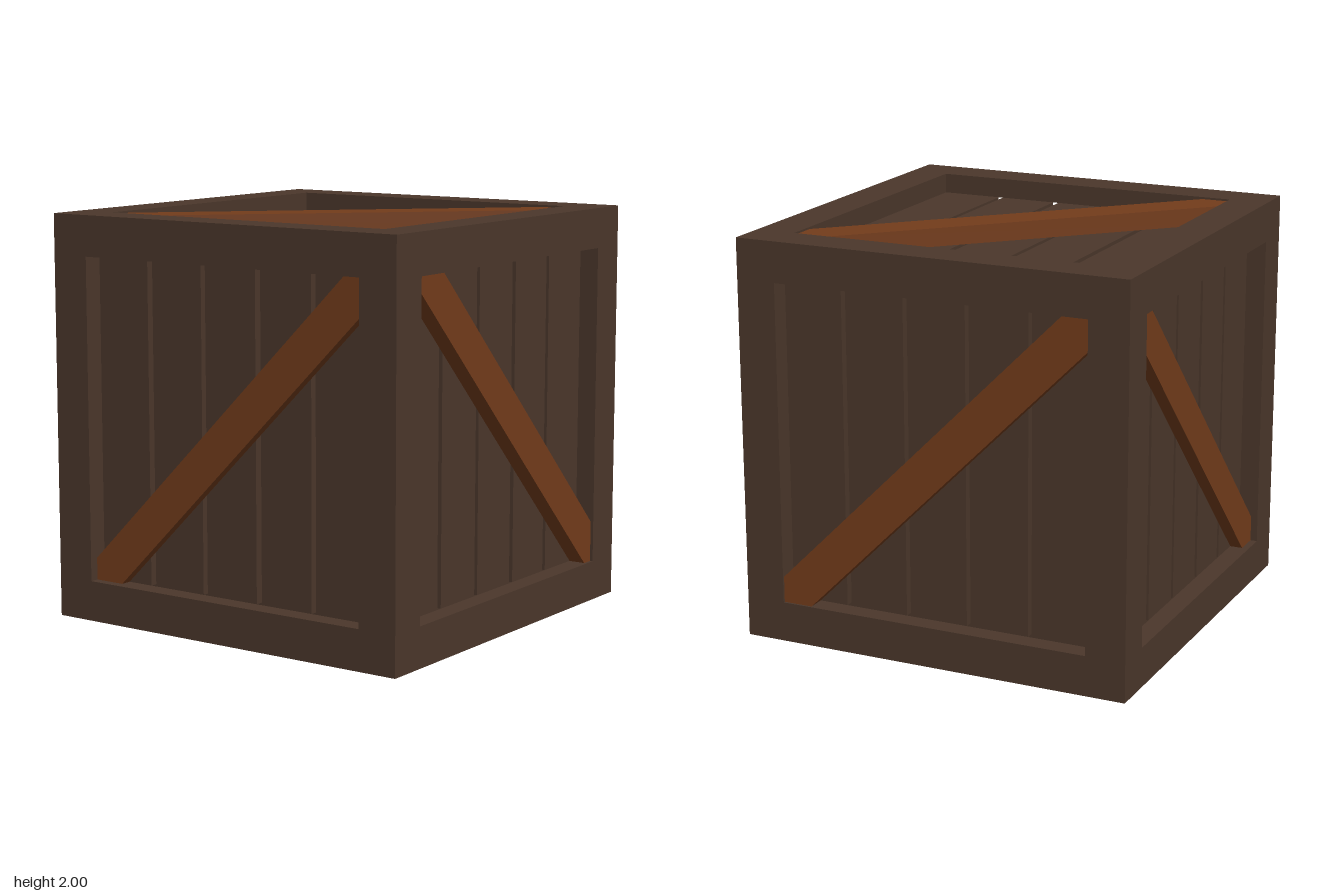
import * as THREE from 'three';
import { mergeGeometries } from 'three/addons/utils/BufferGeometryUtils.js';

const IN = 0.8;       // half width of the opening in each face
const RECESS = 0.1;   // depth of the boards below the frame
const wood = new THREE.MeshStandardMaterial({ color: 0x4b372b });
const braceWood = new THREE.MeshStandardMaterial({ color: 0x733c1b });

function mesh(name, geometry, material) {
  const m = new THREE.Mesh(geometry, material);
  m.name = name;
  return m;
}

const square = (Type, h) => new Type(
  [[-h, -h], [h, -h], [h, h], [-h, h]].map(([x, y]) => new THREE.Vector2(x, y)));

// Square border with the four walls of its opening
function frameGeometry() {
  const ring = square(THREE.Shape, 1);
  ring.holes.push(square(THREE.Path, IN));
  const parts = [new THREE.ShapeGeometry(ring).translate(0, 0, 1)];
  for (let i = 0; i < 4; i++) {
    parts.push(new THREE.PlaneGeometry(2 * IN, RECESS)
      .rotateX(-Math.PI / 2)
      .translate(0, -IN, 1 - RECESS / 2)
      .rotateZ(i * Math.PI / 2));
  }
  return mergeGeometries(parts);
}

// Five upright boards with narrow gaps
function addPlanks(face) {
  const edges = [[-0.8, -0.5], [-0.47, -0.175], [-0.15, 0.145], [0.175, 0.465], [0.49, 0.8]];
  for (const [a, b] of edges) {
    const board = mesh('plank', new THREE.BoxGeometry(b - a, 2 * IN, 0.04), wood);
    board.position.set((a + b) / 2, 0, 1 - RECESS - 0.02);
    face.add(board);
  }
}

// Diagonal bar cut to the opening; hi and lo are its edges above and below
// the diagonal, dir -1 mirrors it, sink is its depth below the frame
function braceGeometry({ hi, lo, dir, sink }) {
  const points = [
    [-IN, -IN], [-IN + lo, -IN], [IN, IN - lo],
    [IN, IN], [IN - hi, IN], [-IN, -IN + hi],
  ].map(([x, y]) => new THREE.Vector2(x * dir, y));
  return new THREE.ExtrudeGeometry(new THREE.Shape(points), {
    depth: RECESS - sink, bevelEnabled: false,
  }).translate(0, 0, 1 - RECESS);
}

const Q = Math.PI / 2;
const FACES = [
  { name: 'front', rot: [0, 0], hi: 0.11, lo: 0.16, dir: 1, sink: 0.045 },
  { name: 'back', rot: [0, 2 * Q], hi: 0.13, lo: 0.15, dir: 1, sink: 0.01 },
  { name: 'right', rot: [0, Q], hi: 0.205, lo: 0.06, dir: -1, sink: 0.015 },
  { name: 'left', rot: [0, -Q], hi: 0.13, lo: 0.13, dir: -1, sink: 0.035 },
  { name: 'top', rot: [-Q, 0], hi: 0.125, lo: 0.145, dir: 1, sink: 0.01 },
  { name: 'bottom', rot: [Q, 0], hi: 0.135, lo: 0.135, dir: -1, sink: 0.01 },
];
// The +x face is the model's left
FACES[2].name = 'left';
FACES[3].name = 'right';

export function createModel() {
  const crate = new THREE.Group();
  crate.name = 'crate';

  // Core that closes the gaps between the boards
  const core = mesh('core', new THREE.BoxGeometry(1.72, 1.72, 1.72), wood);
  core.position.y = 1;
  crate.add(core);

  for (const f of FACES) {
    const face = new THREE.Group();
    face.name = f.name + 'Side';
    face.position.y = 1;
    face.rotation.set(f.rot[0], f.rot[1], 0);
    face.add(mesh('frame', frameGeometry(), wood));
    face.add(mesh('brace', braceGeometry(f), braceWood));
    if (f.name === 'bottom') {
      // The base is one plain board
      const base = mesh('baseBoard', new THREE.BoxGeometry(2 * IN, 2 * IN, 0.04), wood);
      base.position.z = 1 - RECESS - 0.02;
      face.add(base);
    } else {
      addPlanks(face);
    }
    crate.add(face);
  }
  return crate;
}
